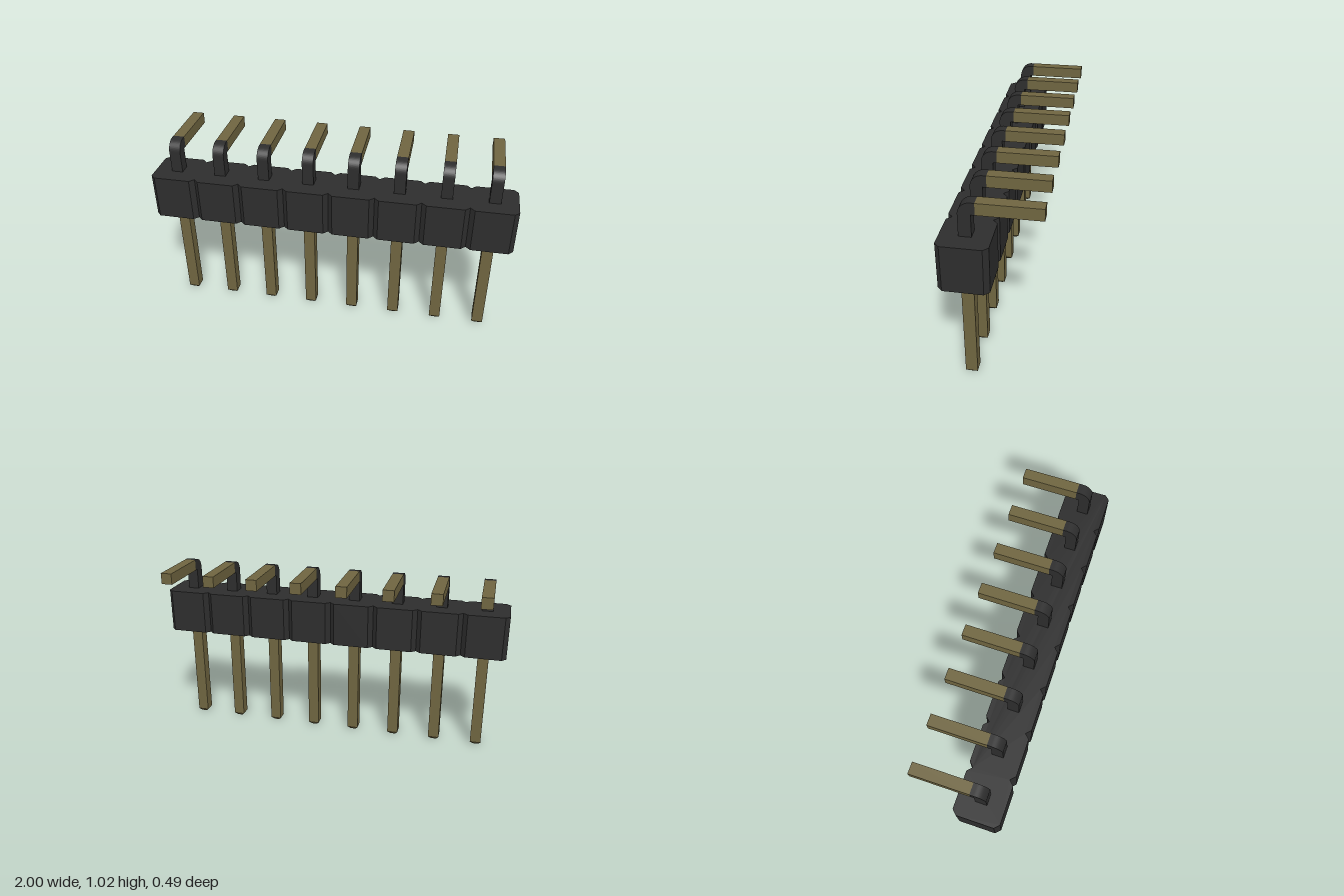
import * as THREE from 'three';

const COUNT = 8, PITCH = 0.25;
const PIN = 0.062;                       // square pin thickness
const PIN_Z = 0.12;                      // centre of the upright pins
const BODY = { back: -0.005, front: 0.243, bottom: 0.595, top: 0.843, chamfer: 0.025 };

export function createModel() {
  const black = new THREE.MeshStandardMaterial({ color: 0x2d2d2d });
  black.name = 'black plastic';
  const gold = new THREE.MeshStandardMaterial({ color: 0x6f6540 });
  gold.name = 'dull gold';

  const model = new THREE.Group();
  model.name = 'angledPinHeader';

  const add = (parent, name, geometry, material, x = 0, y = 0, z = 0) => {
    const mesh = new THREE.Mesh(geometry, material);
    mesh.name = name;
    mesh.position.set(x, y, z);
    parent.add(mesh);
    return mesh;
  };

  // Housing: one chamfered cell per pin, joined into a single notched outline
  const { back, front, bottom, top, chamfer: c } = BODY;
  const backEdge = [], frontEdge = [];
  for (let i = 0; i < COUNT; i++) {
    const x0 = -1 + i * PITCH, x1 = x0 + PITCH;
    backEdge.push([x0, back + c], [x0 + c, back], [x1 - c, back]);
    frontEdge.push([x0 + c, front], [x1 - c, front], [x1, front - c]);
  }
  backEdge.push([1, back + c]);
  frontEdge.unshift([-1, front - c]);
  const outline = [...backEdge, ...frontEdge.reverse()].map(([x, z]) => new THREE.Vector2(x, z));
  const housing = new THREE.ExtrudeGeometry(new THREE.Shape(outline), { depth: top - bottom, bevelEnabled: false });
  housing.rotateX(Math.PI / 2);
  add(model, 'housing', housing, black, 0, top, 0);

  // Black elbow: side profile in (z, y) with a rounded outer corner
  const zb = PIN_Z - PIN / 2, zf = PIN_Z + PIN / 2;
  const sleeveBottom = 0.562, armY = 0.961, armStart = 0.07, armEnd = -0.243;
  const profile = new THREE.Shape();
  profile.moveTo(zb, sleeveBottom);
  profile.lineTo(zf, sleeveBottom);
  profile.lineTo(zf, armY);
  profile.absarc(zb, armY, PIN, 0, Math.PI / 2, false);
  profile.lineTo(armStart, armY + PIN);
  profile.lineTo(armStart, armY);
  profile.lineTo(zb, armY);
  const elbow = new THREE.ExtrudeGeometry(profile, { depth: PIN, bevelEnabled: false, curveSegments: 14 });
  elbow.rotateY(-Math.PI / 2);
  elbow.translate(PIN / 2, 0, 0);

  // Gold leg, its tapered tip, and the horizontal arm
  const tipH = 0.018;
  const leg = new THREE.BoxGeometry(PIN, sleeveBottom - tipH, PIN);
  const tip = new THREE.CylinderGeometry(PIN / Math.SQRT2, 0.03 / Math.SQRT2, tipH, 4).toNonIndexed();
  tip.rotateY(Math.PI / 4);
  tip.computeVertexNormals();
  const arm = new THREE.BoxGeometry(PIN, PIN, armStart - armEnd);

  for (let i = 0; i < COUNT; i++) {
    const pin = new THREE.Group();
    pin.name = `pin${i + 1}`;
    pin.position.x = (i - (COUNT - 1) / 2) * PITCH;
    add(pin, 'elbow', elbow, black);
    add(pin, 'leg', leg, gold, 0, (sleeveBottom + tipH) / 2, PIN_Z);
    add(pin, 'tip', tip, gold, 0, tipH / 2, PIN_Z);
    add(pin, 'arm', arm, gold, 0, armY + PIN / 2, (armStart + armEnd) / 2);
    model.add(pin);
  }
  return model;
}
